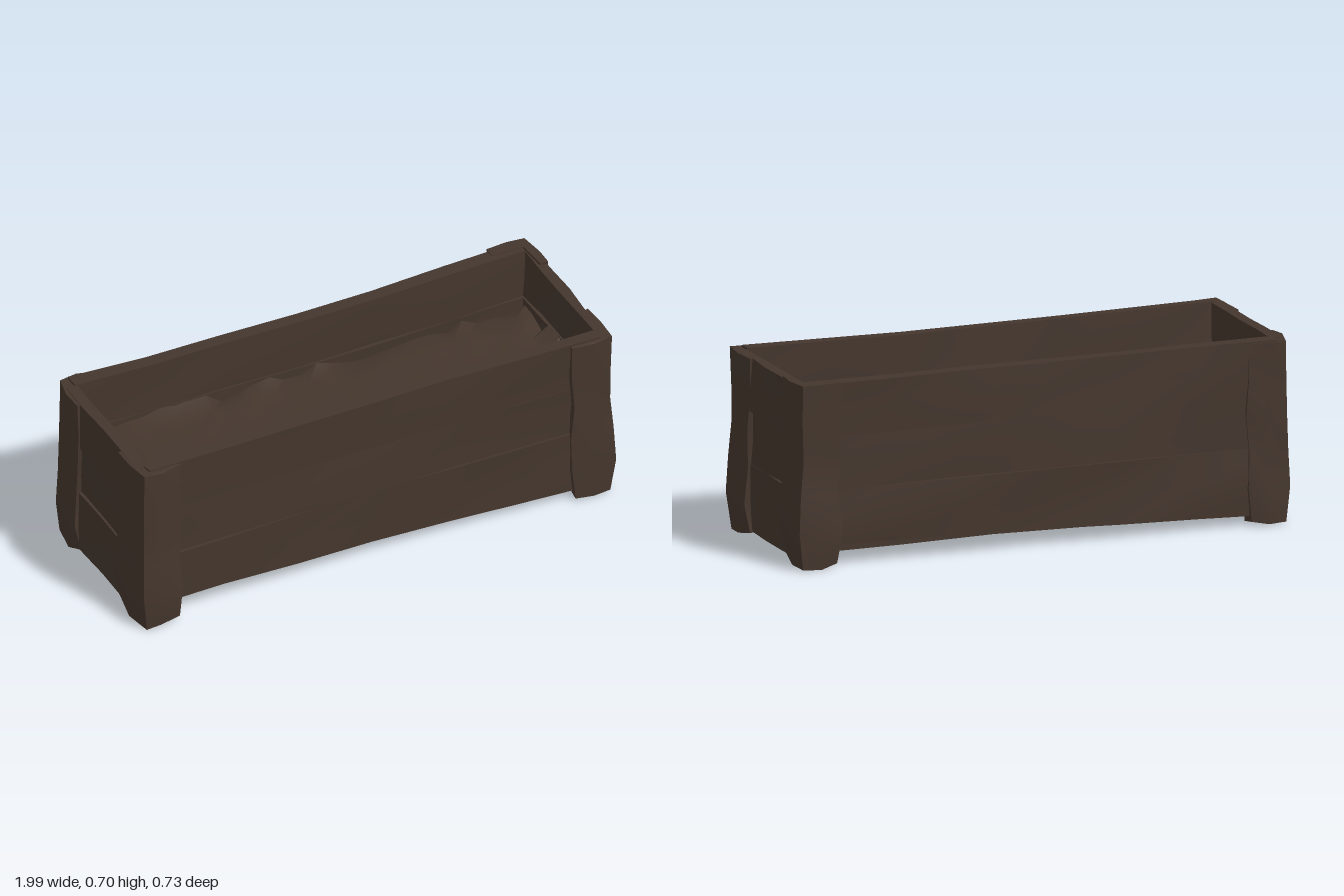
import * as THREE from 'three';
import { toCreasedNormals } from 'three/addons/utils/BufferGeometryUtils.js';

const wood = new THREE.MeshStandardMaterial({ color: 0x44362d, side: THREE.DoubleSide });
wood.name = 'darkWood';

// repeatable noise from a position, so shared corners move together
function noise(x, y, z, k) {
  const r = (v) => Math.round(v * 1000) / 1000;
  const s = Math.sin(r(x) * 127.1 + r(y) * 311.7 + r(z) * 74.7 + k * 53.3) * 4375.85;
  return (s - Math.floor(s)) * 2 - 1;
}

// roughly hewn surface: jitter each axis, then bend by an optional rule
function hew(geo, [jx, jy, jz], bend) {
  const p = geo.attributes.position;
  const v = new THREE.Vector3();
  for (let i = 0; i < p.count; i++) {
    v.fromBufferAttribute(p, i);
    const { x, y, z } = v;
    v.x += noise(x, y, z, 1) * jx;
    v.y += noise(x, y, z, 2) * jy;
    v.z += noise(x, y, z, 3) * jz;
    if (bend) bend(v, x, y, z);
    p.setXYZ(i, v.x, v.y, v.z);
  }
  return toCreasedNormals(geo, 0.6);
}

function part(name, geo) {
  const mesh = new THREE.Mesh(geo, wood);
  mesh.name = name;
  return mesh;
}

// box from its limits
function block([x0, x1], [y0, y1], [z0, z1], segs) {
  return new THREE.BoxGeometry(x1 - x0, y1 - y0, z1 - z0, ...segs)
    .translate((x0 + x1) / 2, (y0 + y1) / 2, (z0 + z1) / 2);
}

export function createModel() {
  const group = new THREE.Group();
  group.name = 'planterBox';
  const rows = [[0.07, 0.3], [0.3, 0.5], [0.5, 0.702]];
  const steps = [0.004, -0.003, 0.002]; // each row sits slightly proud or shy

  // long side boards, bowed slightly inward at the middle
  for (const side of [1, -1]) {
    rows.forEach((row, i) => {
      const z = (side > 0 ? [0.262, 0.308] : [-0.318, -0.262]).map((d) => d + side * steps[i]);
      const geo = block([-0.93, 0.93], row, z, [6, 2, 1]);
      const board = hew(geo, [0.004, 0, 0.006], (v, x, y) => {
        v.z += side * 0.018 * x * x;
        if (i === 0 && y < 0.1) v.y -= 0.03 * side * x;
        if (i === 2 && y > 0.69) v.y += 0.006 * x * x;
      });
      group.add(part(side > 0 ? 'frontBoard' : 'backBoard', board));
    });
  }

  // short end boards
  for (const side of [1, -1]) {
    rows.forEach((row, i) => {
      const x = (side > 0 ? [0.925, 0.962] : [-0.962, -0.915]).map((d) => d + side * steps[i]);
      const geo = block(x, [i === 0 ? 0.045 : row[0], row[1]], [-0.29, 0.29], [1, 2, 4]);
      group.add(part('endBoard', hew(geo, [0.006, 0, 0.004])));
    });
  }

  // L-shaped corner posts, swollen near the foot and tapered at the ground
  for (const sx of [1, -1]) {
    for (const sz of [1, -1]) {
      const inner = sz > 0 ? 0.15 : 0.172;
      const pts = [[0.81, 0.3], [0.81, 0.338], [0.89, 0.346], [0.965, 0.342],
        [0.978, 0.25], [0.972, inner], [0.935, inner], [0.93, 0.3]];
      const shape = new THREE.Shape(pts.map(([x, z]) => new THREE.Vector2(sx * x, -sz * z)));
      const geo = new THREE.ExtrudeGeometry(shape, { depth: 0.69, steps: 5, bevelEnabled: false })
        .rotateX(-Math.PI / 2).translate(0, 0.013, 0);
      const post = hew(geo, [0.007, 0.004, 0.007], (v, x, y, z) => {
        const swell = Math.max(0, 1 - Math.abs(y - 0.16) / 0.2);
        if (Math.abs(z) > 0.32) v.z += sz * 0.014 * swell;
        if (Math.abs(x) > 0.95) v.x += sx * 0.012 * swell;
        if (y < 0.1) {
          v.x += sx * (0.89 - Math.abs(x)) * 0.12;
          if (Math.abs(z) < 0.2) v.y += 0.03;
          if (Math.abs(x) < 0.85) v.y += 0.01;
        }
        if (y > 0.65) v.y += sz < 0 && sx > 0 ? 0.008 : -0.002;
        v.y = Math.max(0, v.y);
      });
      group.add(part('cornerPost', post));
    }
  }

  // floor planks running lengthwise
  for (let i = 0; i < 4; i++) {
    const z = -0.275 + i * 0.1385;
    const geo = block([-0.92, 0.91], [0.055, 0.082], [z, z + 0.136], [5, 1, 1]);
    group.add(part('floorPlank', hew(geo, [0.005, 0.005, 0.001])));
  }

  // filling with a gently rolling top and crumbled edges
  const fill = new THREE.PlaneGeometry(1.84, 0.53, 28, 8).rotateX(-Math.PI / 2);
  const soil = hew(fill, [0.006, 0.003, 0.006], (v, x, y, z) => {
    v.y += 0.475 + 0.008 * Math.sin(x * 7) * Math.cos(z * 6);
    if (Math.abs(x) > 0.85 || Math.abs(z) > 0.22) v.y += 0.03 * noise(x, y, z, 4);
  });
  group.add(part('soil', soil));

  return group;
}
